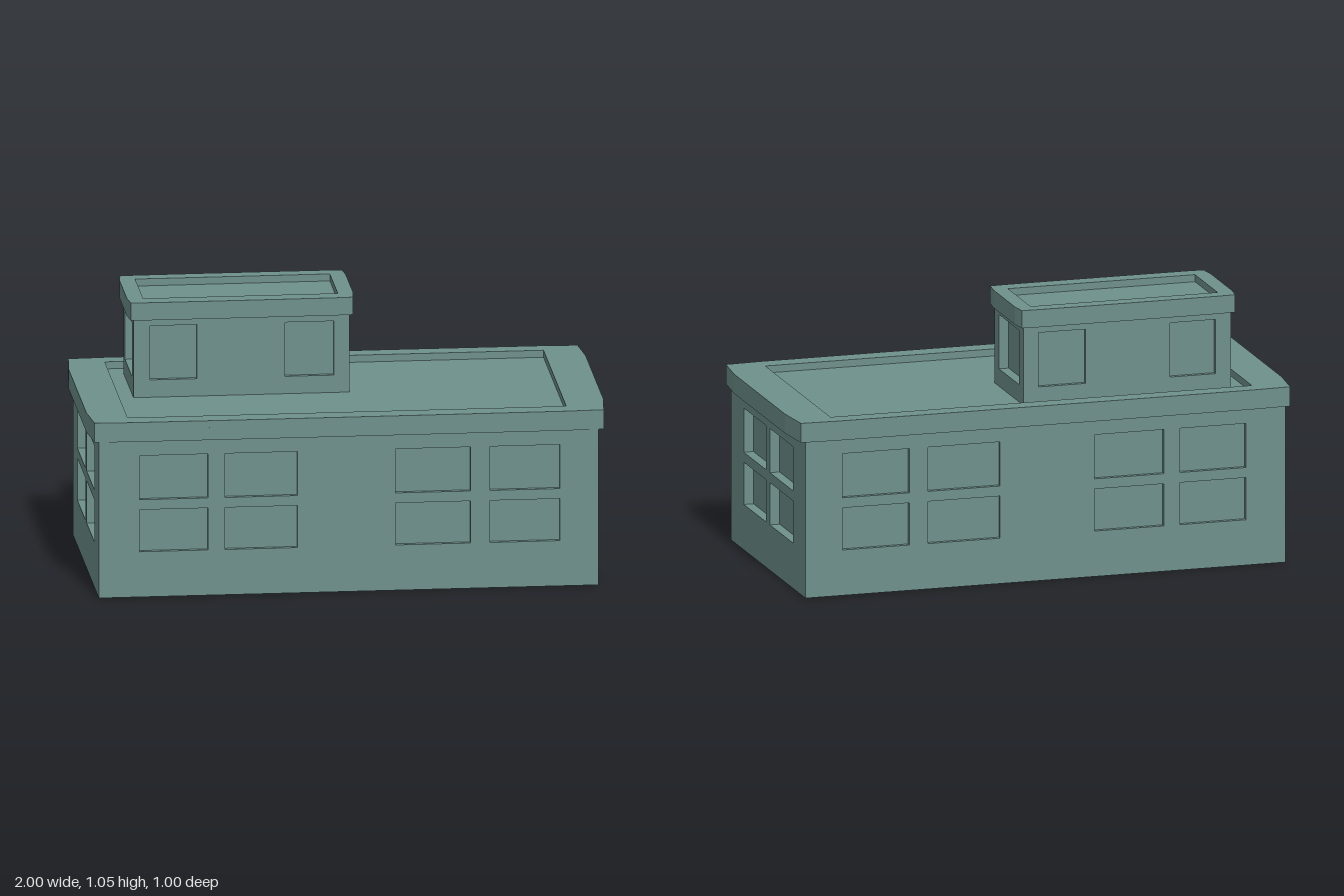
import * as THREE from 'three';

const material = new THREE.MeshStandardMaterial({ color: 0x6f918c, flatShading: true });

// Rectangle path, usable as outline or hole
function rect(PathType, x0, x1, y0, y1) {
  const p = new PathType();
  p.moveTo(x0, y0).lineTo(x1, y0).lineTo(x1, y1).lineTo(x0, y1).closePath();
  return p;
}

function addMesh(parent, geometry, name) {
  const mesh = new THREE.Mesh(geometry, material);
  mesh.name = name;
  parent.add(mesh);
  return mesh;
}

// Wall with window openings [u0, u1, v0, v1] and a thin pane halfway through each
function makeWall(name, u0, u1, v0, v1, thickness, windows) {
  const wall = new THREE.Group();
  wall.name = name;
  const shape = rect(THREE.Shape, u0, u1, v0, v1);
  windows.forEach(w => shape.holes.push(rect(THREE.Path, ...w)));
  const geometry = new THREE.ExtrudeGeometry(shape, { depth: thickness, bevelEnabled: false });
  geometry.translate(0, 0, -thickness / 2);
  addMesh(wall, geometry, 'wallPanel');
  for (const [a, b, c, d] of windows) {
    const pane = addMesh(wall, new THREE.BoxGeometry(b - a, d - c, 0.006), 'windowPane');
    pane.position.set((a + b) / 2, (c + d) / 2, 0);
  }
  return wall;
}

// Four walls around a rectangle; end walls are twice as thick as the long ones
function makeStorey(name, [x0, x1, z0, z1, y0, y1], longWindows, endWindows) {
  const storey = new THREE.Group();
  storey.name = name;
  const t = 0.042, e = 0.084;
  for (const [label, z] of [['frontWall', z1 - t / 2], ['backWall', z0 + t / 2]]) {
    const wall = makeWall(label, x0, x1, y0, y1, t, longWindows);
    wall.position.z = z;
    storey.add(wall);
  }
  for (const [label, x] of [['leftWall', x1 - e / 2], ['rightWall', x0 + e / 2]]) {
    const wall = makeWall(label, -z1 + t, -z0 - t, y0, y1, e, endWindows);
    wall.rotation.y = Math.PI / 2;
    wall.position.x = x;
    storey.add(wall);
  }
  return storey;
}

// Roof outline with slightly bowed sides
function bowedOutline(x0, x1, z0, z1, bow) {
  const cx = (x0 + x1) / 2, cz = (z0 + z1) / 2, hx = (x1 - x0) / 2, hz = (z1 - z0) / 2;
  const quarter = [[hx, 0.66 * hz], [hx - bow, hz - bow * 0.6], [0.84 * hx, hz - bow * 0.15], [0.3 * hx, hz]];
  const mirrored = (sx, sz) => quarter.map(([x, z]) => new THREE.Vector2(cx + sx * x, -(cz + sz * z)));
  return new THREE.Shape([
    ...mirrored(1, -1), ...mirrored(-1, -1).reverse(),
    ...mirrored(-1, 1), ...mirrored(1, 1).reverse(),
  ]);
}

// Flat roof: a slab with a raised parapet around a shallow recess
function makeRoof(name, [x0, x1, z0, z1], y0, y1, recess, bow) {
  const roof = new THREE.Group();
  roof.name = name;
  const floor = y1 - 0.028;
  const layer = (label, shape, bottom, top) => {
    const geometry = new THREE.ExtrudeGeometry(shape, { depth: top - bottom, bevelEnabled: false });
    geometry.rotateX(-Math.PI / 2).translate(0, bottom, 0);
    addMesh(roof, geometry, label);
  };
  layer('roofSlab', bowedOutline(x0, x1, z0, z1, bow), y0, floor);
  const rim = bowedOutline(x0, x1, z0, z1, bow);
  rim.holes.push(rect(THREE.Path, recess[0], recess[1], -recess[3], -recess[2]));
  layer('parapet', rim, floor, y1);
  return roof;
}

// Every combination of column and row spans
const grid = (columns, rows) => columns.flatMap(c => rows.map(r => [...c, ...r]));

export function createModel() {
  const building = new THREE.Group();
  building.name = 'building';

  // Main block, hollow and open underneath
  const rows = [[0.18, 0.347], [0.387, 0.562]];
  building.add(makeStorey('mainBlock', [-0.968, 0.964, -0.481, 0.486, 0, 0.62],
    grid([[-0.81, -0.545], [-0.48, -0.2], [0.18, 0.47], [0.545, 0.815]], rows),
    grid([[-0.322, -0.033], [0.017, 0.315]], rows)));
  building.add(makeRoof('mainRoof', [-1, 1, -0.5, 0.498], 0.62, 0.697,
    [-0.85, 0.847, -0.428, 0.42], 0.015));

  // Rooftop room
  const upperRow = [[0.738, 0.953]];
  building.add(makeStorey('rooftopRoom', [-0.785, 0.05, -0.365, 0.016, 0.665, 0.98],
    grid([[-0.722, -0.54], [-0.2, -0.01]], upperRow),
    grid([[0.045, 0.304]], upperRow)));
  building.add(makeRoof('rooftopRoomRoof', [-0.805, 0.07, -0.387, 0.035], 0.98, 1.05,
    [-0.743, 0.01, -0.327, -0.033], 0.008));

  return building;
}
